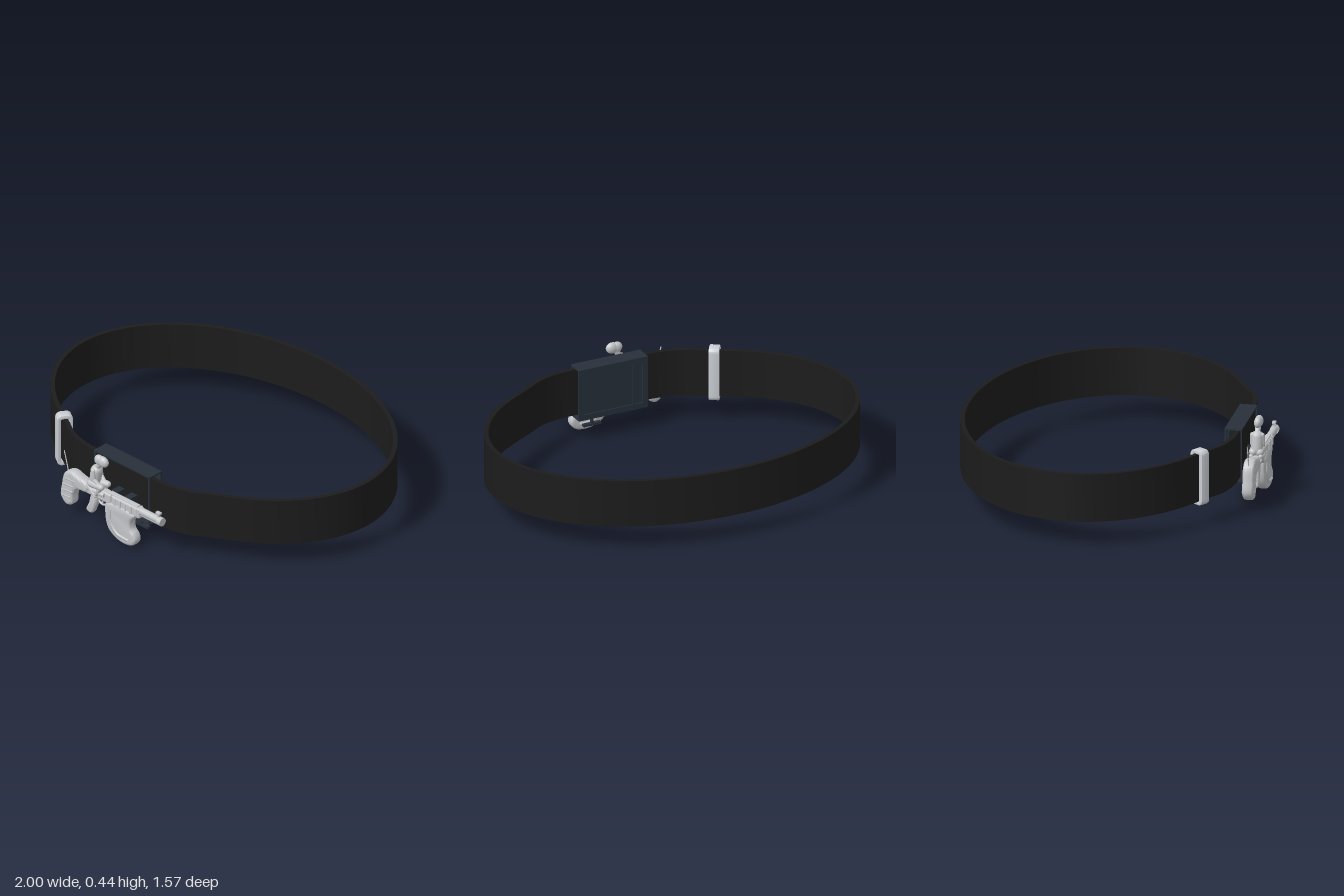
import * as THREE from 'three';
import { toCreasedNormals } from 'three/addons/utils/BufferGeometryUtils.js';
import { RoundedBoxGeometry } from 'three/addons/geometries/RoundedBoxGeometry.js';

const mat = (name, color) => {
  const m = new THREE.MeshStandardMaterial({ color });
  m.name = name;
  return m;
};
const V = (x, y, z = 0) => new THREE.Vector3(x, y, z);

export function createModel() {
  const root = new THREE.Group();
  const leather = mat('black leather', 0x1c1c1c);
  const steel = mat('dark blue steel', 0x28303a);
  const silver = mat('silver loop', 0xcbcfd5);
  const pewter = mat('pewter', 0xc2c4c7);

  const add = (parent, name, geo, material, x = 0, y = 0, z = 0) => {
    const m = new THREE.Mesh(geo, material);
    m.name = name;
    m.position.set(x, y, z);
    parent.add(m);
    return m;
  };
  const group = (name, z = 0) => {
    const g = new THREE.Group();
    g.name = name;
    g.position.z = z;
    root.add(g);
    return g;
  };

  // Strap: an ellipse whose front flattens into the buckle
  const half = [[0, 0.653], [0.15, 0.653], [0.29, 0.648], [0.4, 0.62], [0.5, 0.562]];
  for (let i = 0; i <= 16; i++) {
    const a = 0.92 - (i / 16) * (0.92 + Math.PI / 2);
    half.push([0.989 * Math.cos(a), -0.06 + 0.711 * Math.sin(a)]);
  }
  half[half.length - 1][0] = 0;
  const loop = [...half, ...half.slice(1, -1).reverse().map(([x, z]) => [-x, z])];
  const path = new THREE.CatmullRomCurve3(loop.map(([x, z]) => V(x, z)), true);
  const offset = (d) => Array.from({ length: 160 }, (_, i) => {
    const p = path.getPointAt(i / 160), t = path.getTangentAt(i / 160);
    return new THREE.Vector2(p.x - t.y * d, p.y + t.x * d);
  });
  const strapShape = new THREE.Shape(offset(0.0115));
  strapShape.holes.push(new THREE.Path(offset(-0.0115).reverse()));
  const strap = new THREE.ExtrudeGeometry(strapShape, { depth: 0.253, bevelEnabled: false });
  strap.rotateX(Math.PI / 2);
  add(root, 'strap', toCreasedNormals(strap, 0.5), leather, 0, 0.388, 0);

  // Silver keeper loop around the strap
  const roundRect = (outline, w, h, r) => {
    const x = w / 2, y = h / 2;
    outline.absarc(x - r, y - r, r, 0, Math.PI / 2);
    outline.absarc(-x + r, y - r, r, Math.PI / 2, Math.PI);
    outline.absarc(-x + r, -y + r, r, Math.PI, Math.PI * 1.5);
    outline.absarc(x - r, -y + r, r, Math.PI * 1.5, Math.PI * 2);
    return outline;
  };
  const keeperShape = roundRect(new THREE.Shape(), 0.075, 0.283, 0.022);
  keeperShape.holes.push(roundRect(new THREE.Path(), 0.049, 0.259, 0.012));
  const keeper = new THREE.ExtrudeGeometry(keeperShape, {
    depth: 0.046, bevelThickness: 0.004, bevelSize: 0.004, bevelSegments: 2, curveSegments: 6,
  });
  keeper.translate(0, 0, -0.023);
  add(root, 'keeperLoop', toCreasedNormals(keeper, 0.6), silver, -0.545, 0.262, 0.537)
    .rotation.y = 0.985;

  // Buckle: open sleeve with a thin front frame and a recessed back panel
  const buckle = group('buckle');
  const box = (name, w, h, d, x, y, z) => add(buckle, name, new THREE.BoxGeometry(w, h, d), steel, x, y, z);
  box('topPlate', 0.392, 0.008, 0.09, 0, 0.399, 0.636);
  box('bottomPlate', 0.392, 0.008, 0.09, 0, 0.125, 0.636);
  for (const s of [-1, 1]) {
    box('frontUpright', 0.01, 0.28, 0.008, s * 0.191, 0.262, 0.677);
    box('backUpright', 0.03, 0.28, 0.012, s * 0.181, 0.262, 0.597);
  }
  for (const y of [0.138, 0.386]) box('backRail', 0.34, 0.026, 0.012, 0, y, 0.597);
  box('backPanel', 0.34, 0.23, 0.01, 0, 0.262, 0.604);
  box('backDivider', 0.008, 0.23, 0.012, -0.115, 0.262, 0.597);
  // Release lever below, and pegs that carry the ornament
  add(buckle, 'leverPost', new THREE.CylinderGeometry(0.009, 0.009, 0.06, 12), steel, 0.1, 0.098, 0.638);
  box('leverBar', 0.1, 0.012, 0.022, 0.1, 0.07, 0.638);
  for (const x of [-0.01, 0.08]) box('peg', 0.04, 0.06, 0.06, x, 0.225, 0.7);

  // Ornament helpers; x and y are shared with the whole model, z is local
  const gun = group('gunOrnament', 0.741);
  const slab = (name, pts, width) => {
    const curve = new THREE.CatmullRomCurve3(pts.map(([x, y]) => V(x, y)), true, 'centripetal');
    const b = width * 0.3;
    const shape = new THREE.Shape(curve.getPoints(48).slice(0, -1).map((p) => new THREE.Vector2(p.x, p.y)));
    const geo = new THREE.ExtrudeGeometry(shape, {
      depth: width - 2 * b, bevelThickness: b, bevelSize: b, bevelOffset: -b, bevelSegments: 4,
    });
    geo.translate(0, 0, -width / 2 + b);
    add(gun, name, toCreasedNormals(geo, 0.9), pewter);
  };
  const limb = (parent, name, a, b, r0, r1 = r0) => {
    const dir = b.clone().sub(a);
    const len = dir.length();
    const pts = [];
    for (let i = 0; i <= 4; i++) {
      const t = (i / 4) * Math.PI / 2;
      pts.push(new THREE.Vector2(r0 * Math.sin(t), -r0 * Math.cos(t)));
    }
    for (let i = 0; i <= 4; i++) {
      const t = (i / 4) * Math.PI / 2;
      pts.push(new THREE.Vector2(r1 * Math.cos(t), len + r1 * Math.sin(t)));
    }
    const m = add(parent, name, new THREE.LatheGeometry(pts, 14), pewter, a.x, a.y, a.z);
    m.quaternion.setFromUnitVectors(V(0, 1, 0), dir.normalize());
  };
  const ball = (parent, name, x, y, z, sx, sy, sz) =>
    add(parent, name, new THREE.SphereGeometry(1, 18, 12), pewter, x, y, z).scale.set(sx, sy, sz);
  const rod = (name, x0, x1, y, r, z = 0) => {
    const m = add(gun, name, new THREE.CylinderGeometry(r, r, x1 - x0, 16), pewter, (x0 + x1) / 2, y, z);
    m.rotation.z = Math.PI / 2;
  };
  const block = (name, w, h, d, x, y, z = 0) =>
    add(gun, name, new RoundedBoxGeometry(w, h, d, 2, Math.min(w, h, d) * 0.25), pewter, x, y, z);

  // Stock, grip and drooping magazine
  slab('stock', [[-0.16, 0.245], [-0.22, 0.265], [-0.28, 0.278], [-0.325, 0.25], [-0.343, 0.18], [-0.35, 0.11],
    [-0.31, 0.07], [-0.27, 0.085], [-0.26, 0.15], [-0.235, 0.185], [-0.16, 0.2]], 0.06);
  for (const z of [-0.024, 0.024]) {
    for (let i = 0; i < 4; i++) {
      limb(gun, 'stockRib', V(-0.335 + i * 0.008, 0.12 + i * 0.035, z), V(-0.28 + i * 0.012, 0.125 + i * 0.035, z), 0.008);
    }
  }
  slab('grip', [[-0.14, 0.2], [-0.1, 0.2], [-0.125, 0.11], [-0.14, 0.085], [-0.178, 0.092], [-0.16, 0.14]], 0.038);
  slab('magazine', [[-0.03, 0.2], [-0.04, 0.13], [-0.02, 0.055], [0.03, 0.017], [0.09, 0.004], [0.15, 0.015],
    [0.175, 0.05], [0.165, 0.085], [0.142, 0.11], [0.14, 0.15], [0.17, 0.2]], 0.054);
  const rib = new THREE.CatmullRomCurve3([[0.0, 0.17], [0.005, 0.1], [0.05, 0.05], [0.13, 0.04]].map(([x, y]) => V(x, y)));
  for (const z of [-0.024, 0.024]) {
    add(gun, 'magazineRib', new THREE.TubeGeometry(rib, 20, 0.01, 8), pewter, 0, 0, z);
  }

  // Receiver, handguard, barrel and sights
  block('receiver', 0.22, 0.06, 0.046, -0.11, 0.222);
  block('handguard', 0.2, 0.06, 0.044, 0.1, 0.222);
  block('topRail', 0.2, 0.012, 0.026, 0.08, 0.252);
  for (let i = 0; i < 5; i++) block('handguardRidge', 0.014, 0.045, 0.052, 0.03 + i * 0.037, 0.225);
  rod('bolt', -0.16, -0.04, 0.235, 0.012, 0.024);
  rod('barrel', 0.18, 0.34, 0.234, 0.019);
  rod('gasTube', 0.18, 0.31, 0.216, 0.012);
  rod('muzzle', 0.322, 0.347, 0.23, 0.023);
  block('frontSight', 0.014, 0.06, 0.014, 0.318, 0.247);
  block('sightHood', 0.03, 0.014, 0.02, 0.318, 0.272);
  const guard = add(gun, 'triggerGuard', new THREE.TorusGeometry(0.032, 0.006, 8, 20, Math.PI), pewter, -0.075, 0.19, 0);
  guard.rotation.z = Math.PI;
  limb(gun, 'trigger', V(-0.08, 0.195, 0), V(-0.075, 0.168, 0), 0.005);
  limb(gun, 'antenna', V(-0.315, 0.25, 0), V(-0.345, 0.36, 0), 0.003);

  // Small seated rider on top of the receiver
  const rider = group('rider', 0.744);
  limb(rider, 'torso', V(-0.125, 0.28, 0), V(-0.115, 0.345, 0), 0.03, 0.031);
  limb(rider, 'neck', V(-0.112, 0.36, 0), V(-0.09, 0.395, 0), 0.015);
  ball(rider, 'head', -0.07, 0.412, 0, 0.035, 0.03, 0.022);
  ball(rider, 'hair', -0.096, 0.412, 0, 0.03, 0.029, 0.021);
  for (const s of [-1, 1]) {
    const z = s * 0.024;
    limb(rider, 'upperArm', V(-0.115, 0.352, z), V(-0.11, 0.305, z * 1.15), 0.014, 0.012);
    limb(rider, 'forearm', V(-0.11, 0.305, z * 1.15), V(-0.06, 0.268, z * 0.8), 0.012, 0.009);
    limb(rider, 'thigh', V(-0.135, 0.268, z * 0.7), V(-0.06, 0.275, z), 0.022, 0.017);
    limb(rider, 'shin', V(-0.06, 0.275, z), V(-0.1, 0.215, z), 0.015, 0.01);
    limb(rider, 'foot', V(-0.15, 0.25, z), V(-0.1, 0.21, z), 0.012);
  }
  return root;
}
